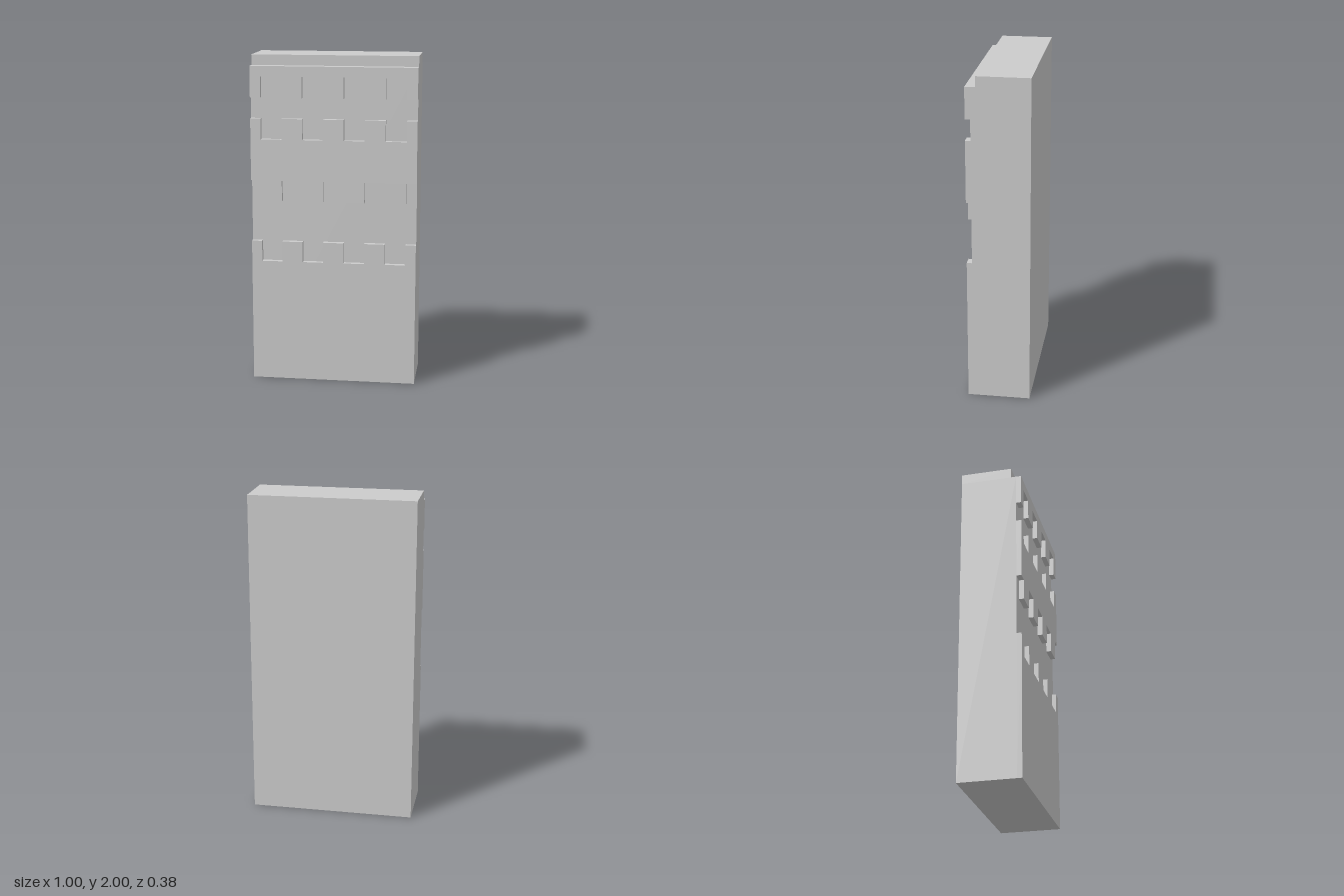
import * as THREE from 'three';

const material = new THREE.MeshStandardMaterial({ color: 0xcccccc, flatShading: true });

const HALF = 0.5;        // half width
const BACK = -0.1875;    // back plane
const CORE = 0.15625;    // recessed face
const FRONT = 0.1875;    // raised face
const LEDGE = 1.9375;    // height of the top step

// Left-to-right square-wave edge: yEdge at the sides, yMid at the four notches
function toothedEdge(yEdge, yMid) {
  const points = [[-HALF, yEdge]];
  for (let i = 0; i < 4; i++) {
    const c = -0.375 + i * 0.25;
    points.push([c - 0.0625, yEdge], [c - 0.0625, yMid], [c + 0.0625, yMid], [c + 0.0625, yEdge]);
  }
  points.push([HALF, yEdge]);
  return points;
}

const straightEdge = (y) => [[-HALF, y], [HALF, y]];

// Raised panel between a lower and an upper edge
function raisedPanel(name, lower, upper) {
  const outline = [...lower, ...upper.reverse()].map(([x, y]) => new THREE.Vector2(x, y));
  const geometry = new THREE.ExtrudeGeometry(new THREE.Shape(outline), {
    depth: FRONT - CORE, bevelEnabled: false,
  });
  const mesh = new THREE.Mesh(geometry, material);
  mesh.name = name;
  mesh.position.z = CORE;
  return mesh;
}

// Full-width block from y0 to y1, back plane to zFront
function block(name, y0, y1, zFront) {
  const mesh = new THREE.Mesh(new THREE.BoxGeometry(2 * HALF, y1 - y0, zFront - BACK), material);
  mesh.name = name;
  mesh.position.set(0, (y0 + y1) / 2, (BACK + zFront) / 2);
  return mesh;
}

export function createModel() {
  const group = new THREE.Group();
  group.name = 'wallPanel';
  group.add(
    block('core', 0, LEDGE, CORE),
    block('topStep', LEDGE, 2, 0.125),
    raisedPanel('bottomPanel', straightEdge(0), toothedEdge(0.875, 0.75)),
    raisedPanel('middlePanel', toothedEdge(1.25, 1.125), toothedEdge(1.625, 1.5)),
    raisedPanel('topPanel', toothedEdge(1.75, 1.875), straightEdge(LEDGE)),
  );
  return group;
}
